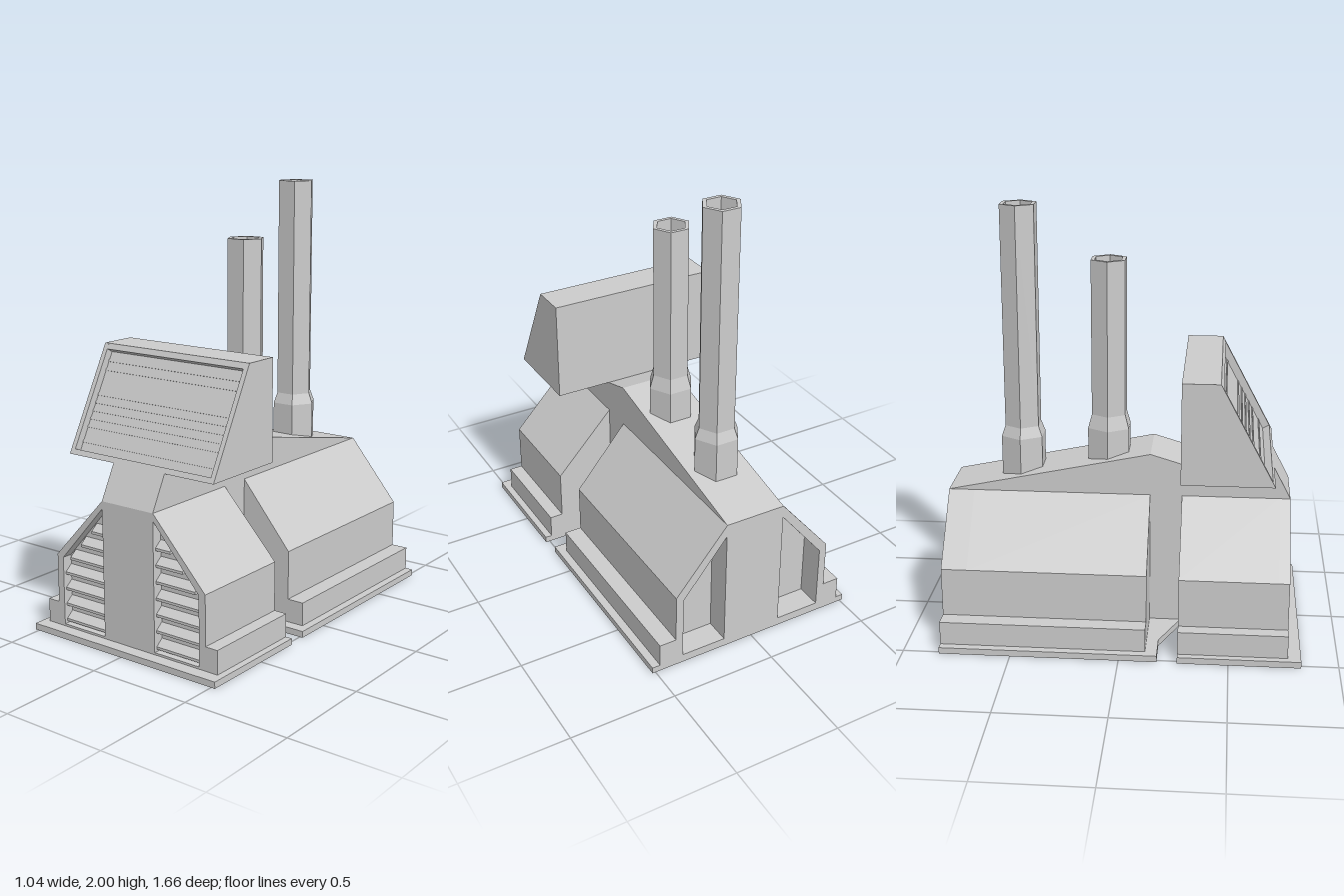
import * as THREE from 'three';

const material = new THREE.MeshStandardMaterial({ color: 0xcccccc, flatShading: true, side: THREE.DoubleSide });
const toShape = (points) => new THREE.Shape(points.map(([a, b]) => new THREE.Vector2(a, b)));

function addMesh(parent, name, geometry) {
  const mesh = new THREE.Mesh(geometry, material);
  mesh.name = name;
  parent.add(mesh);
  return mesh;
}

// Extrudes an (x, y) outline from z0 to z1
function extrudeZ(points, z0, z1) {
  return new THREE.ExtrudeGeometry(toShape(points), { depth: z1 - z0, bevelEnabled: false }).translate(0, 0, z0);
}

// Extrudes a (z, y) outline from x0 to x1
function extrudeX(points, x0, x1) {
  return new THREE.ExtrudeGeometry(toShape(points), { depth: x1 - x0, bevelEnabled: false })
    .rotateY(-Math.PI / 2).translate(x1, 0, 0);
}

const SPINE = 0.145;
const FLOOR = 0.03;

// Half of a building: stepped wall and sloped roof, with a recess at one end
function addHalfHouse(parent, name, side, o) {
  const outer = [
    [SPINE, FLOOR], [o.ledge, FLOOR], [o.ledge, 0.14], [o.wall, 0.14], [o.wall, 0.37], [SPINE, 0.67],
  ];
  const rim = [...outer, [SPINE, o.recessTop], [o.recessX, o.recessEave], [o.recessX, 0.04], [SPINE, 0.04]];
  const mirror = (points) => points.map(([x, y]) => [x * side, y]);
  addMesh(parent, name + 'Body', extrudeZ(mirror(outer), ...o.bodyZ));
  addMesh(parent, name + 'Rim', extrudeZ(mirror(rim), ...o.rimZ));
}

// Hexagonal chimney with a wide collar and an open top
function addChimney(parent, name, z, collarTop, taperTop, top) {
  const profile = [
    [0.11, 0.6], [0.11, collarTop], [0.09, taperTop], [0.09, top],
    [0.07, top], [0.07, top - 0.12], [0, top - 0.12],
  ].map(([r, y]) => new THREE.Vector2(r, y));
  addMesh(parent, name, new THREE.LatheGeometry(profile, 6, Math.PI / 2)).position.z = z;
}

export function createModel() {
  const model = new THREE.Group();
  model.name = 'building';

  // Base plates, joined by a tapered strip
  const plate = (name, halfWidth, z0, z1) =>
    addMesh(model, name, new THREE.BoxGeometry(halfWidth * 2, FLOOR, z1 - z0))
      .position.set(0, FLOOR / 2, (z0 + z1) / 2);
  plate('frontBasePlate', 0.52, 0.268, 0.83);
  plate('rearBasePlate', 0.515, -0.83, 0.175);
  const strip = [[-0.36, -0.175], [0.36, -0.175], [SPINE, -0.268], [-SPINE, -0.268]];
  addMesh(model, 'joiningPlate', extrudeZ(strip, 0, FLOOR).rotateX(-Math.PI / 2));

  // Central spine running the whole length
  addMesh(model, 'spine', extrudeX([
    [0.77, FLOOR], [0.77, 0.67], [0.69, 0.825], [0.27, 0.825], [0.12, 0.87], [-0.83, 0.67], [-0.83, FLOOR],
  ], -SPINE, SPINE));

  for (const side of [1, -1]) {
    const label = side > 0 ? 'left' : 'right';
    addHalfHouse(model, label + 'FrontHouse', side, {
      ledge: 0.488, wall: 0.425, recessX: 0.39, recessEave: 0.36, recessTop: 0.635,
      bodyZ: [0.268, 0.72], rimZ: [0.72, 0.77],
    });
    addHalfHouse(model, label + 'RearHouse', side, {
      ledge: 0.477, wall: 0.396, recessX: 0.36, recessEave: 0.345, recessTop: 0.61,
      bodyZ: [-0.71, 0.12], rimZ: [-0.83, -0.71],
    });

    // Louvre slats, shortened under the roof slope
    for (let i = 0; i < 7; i++) {
      const y = 0.05 + i * 0.075;
      const end = Math.min(0.39, 0.39 - (y + 0.045 - 0.36) * 0.89);
      const slat = [[0.715, y], [0.755, y], [0.755, y + 0.012], [0.715, y + 0.045]];
      const [x0, x1] = side > 0 ? [SPINE, end] : [-end, -SPINE];
      addMesh(model, label + 'LouvreSlat', extrudeX(slat, x0, x1));
    }
  }

  // Sloped display box: recessed middle between two cheeks
  const display = new THREE.Group();
  display.name = 'displayBox';
  model.add(display);
  const back = [[0.44, 1.295], [0.27, 1.295], [0.27, 0.825], [0.69, 0.825]];
  const low = [0.646, 0.831], high = [0.421, 1.253];
  addMesh(display, 'displayBody', extrudeX([...back, [0.678, 0.848], low, high, [0.453, 1.27]], -0.385, 0.385));
  addMesh(display, 'leftCheek', extrudeX(back, 0.385, 0.408));
  addMesh(display, 'rightCheek', extrudeX(back, -0.408, -0.385));

  // Thin raised lines on the display panel
  for (const t of [0.1, 0.25, 0.33, 0.41, 0.49, 0.57, 0.82, 0.91]) {
    const line = addMesh(display, 'displayLine', new THREE.BoxGeometry(0.77, 0.012, 0.006));
    line.position.set(0, low[1] + (high[1] - low[1]) * t, low[0] + (high[0] - low[0]) * t);
    line.rotation.x = -0.49;
  }

  addChimney(model, 'frontChimney', -0.083, 0.96, 1.025, 1.755);
  addChimney(model, 'rearChimney', -0.492, 0.91, 0.96, 2);
  return model;
}
